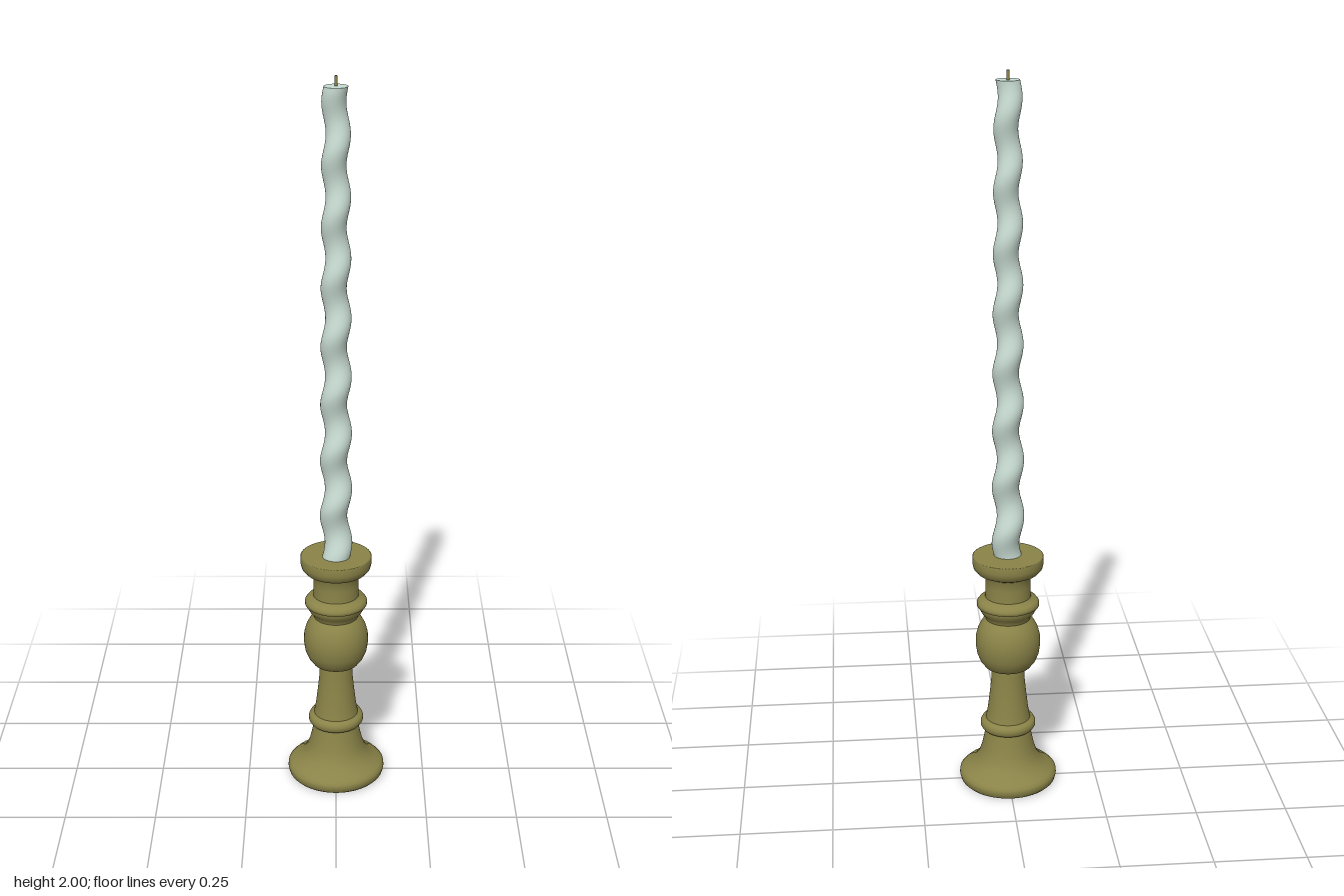
import * as THREE from 'three';

const brass = new THREE.MeshStandardMaterial({ color: 0x8a8348 });
brass.name = 'aged brass';
const wax = new THREE.MeshStandardMaterial({ color: 0xc8dcd2 });
wax.name = 'pale wax';

function turned(name, profile) {
  const points = profile.map(([r, y]) => new THREE.Vector2(r, y));
  const mesh = new THREE.Mesh(new THREE.LatheGeometry(points, 64), brass);
  mesh.name = name;
  return mesh;
}

// Tapered round column whose centre winds upward in a helix
function twistedCandle(bottom, top) {
  const rows = 200;
  const height = top - bottom;
  const geometry = new THREE.CylinderGeometry(1, 1, height, 32, rows);
  geometry.translate(0, bottom + height / 2, 0);
  const p = geometry.attributes.position;
  for (let i = 0; i < p.count; i++) {
    const y = p.getY(i);
    const t = (y - bottom) / height;
    const radius = THREE.MathUtils.lerp(0.038, 0.031, t);
    const sway = THREE.MathUtils.lerp(0.007, 0.0055, t);
    const angle = t * 8 * Math.PI * 2;
    p.setX(i, p.getX(i) * radius + Math.sin(angle) * sway);
    p.setZ(i, p.getZ(i) * radius + Math.cos(angle) * sway);
  }
  geometry.computeVertexNormals();
  // Match the normals along the side seam
  const n = geometry.attributes.normal;
  for (let row = 0; row <= rows; row++) {
    const a = row * 33;
    const b = a + 32;
    const v = new THREE.Vector3().fromBufferAttribute(n, a)
      .add(new THREE.Vector3().fromBufferAttribute(n, b)).normalize();
    n.setXYZ(a, v.x, v.y, v.z);
    n.setXYZ(b, v.x, v.y, v.z);
  }
  const mesh = new THREE.Mesh(geometry, wax);
  mesh.name = 'twistedCandle';
  return mesh;
}

export function createModel() {
  const model = new THREE.Group();
  model.name = 'candlestick';

  const holder = new THREE.Group();
  holder.name = 'holder';
  holder.add(
    // Flat underside and flared foot
    turned('footUnderside', [[0, 0], [0.128, 0]]),
    turned('foot', [
      [0.128, 0], [0.134, 0.006], [0.137, 0.018], [0.136, 0.028], [0.128, 0.036],
      [0.111, 0.046], [0.095, 0.06], [0.083, 0.078], [0.075, 0.1], [0.068, 0.13],
      [0.063, 0.157],
    ]),
    // Lower collar
    turned('collar', [
      [0.063, 0.157], [0.072, 0.162], [0.077, 0.17], [0.077, 0.18], [0.073, 0.188],
      [0.062, 0.193],
    ]),
    turned('stem', [
      [0.062, 0.193], [0.057, 0.22], [0.051, 0.27], [0.047, 0.31], [0.045, 0.352],
    ]),
    // Ball knop
    turned('knop', [
      [0.045, 0.35], [0.064, 0.354], [0.077, 0.371], [0.086, 0.393], [0.09, 0.42],
      [0.089, 0.445], [0.083, 0.468], [0.073, 0.487], [0.062, 0.499],
    ]),
    // Upper ring
    turned('upperRing', [
      [0.062, 0.499], [0.065, 0.509], [0.073, 0.517], [0.079, 0.528], [0.08, 0.535],
    ]),
    turned('upperRingLip', [
      [0.08, 0.535], [0.086, 0.538], [0.086, 0.547], [0.08, 0.555], [0.068, 0.559],
      [0.063, 0.565],
    ]),
    // Neck and candle cup
    turned('cup', [
      [0.063, 0.565], [0.062, 0.6], [0.063, 0.628], [0.072, 0.633], [0.086, 0.64],
      [0.095, 0.651], [0.098, 0.664], [0.098, 0.683], [0.095, 0.685], [0, 0.685],
    ]),
  );
  model.add(holder);

  model.add(twistedCandle(0.683, 1.975));

  // Wick
  const wick = new THREE.Mesh(new THREE.CylinderGeometry(0.004, 0.004, 0.05, 10), brass);
  wick.name = 'wick';
  wick.position.y = 1.975;
  model.add(wick);

  return model;
}
